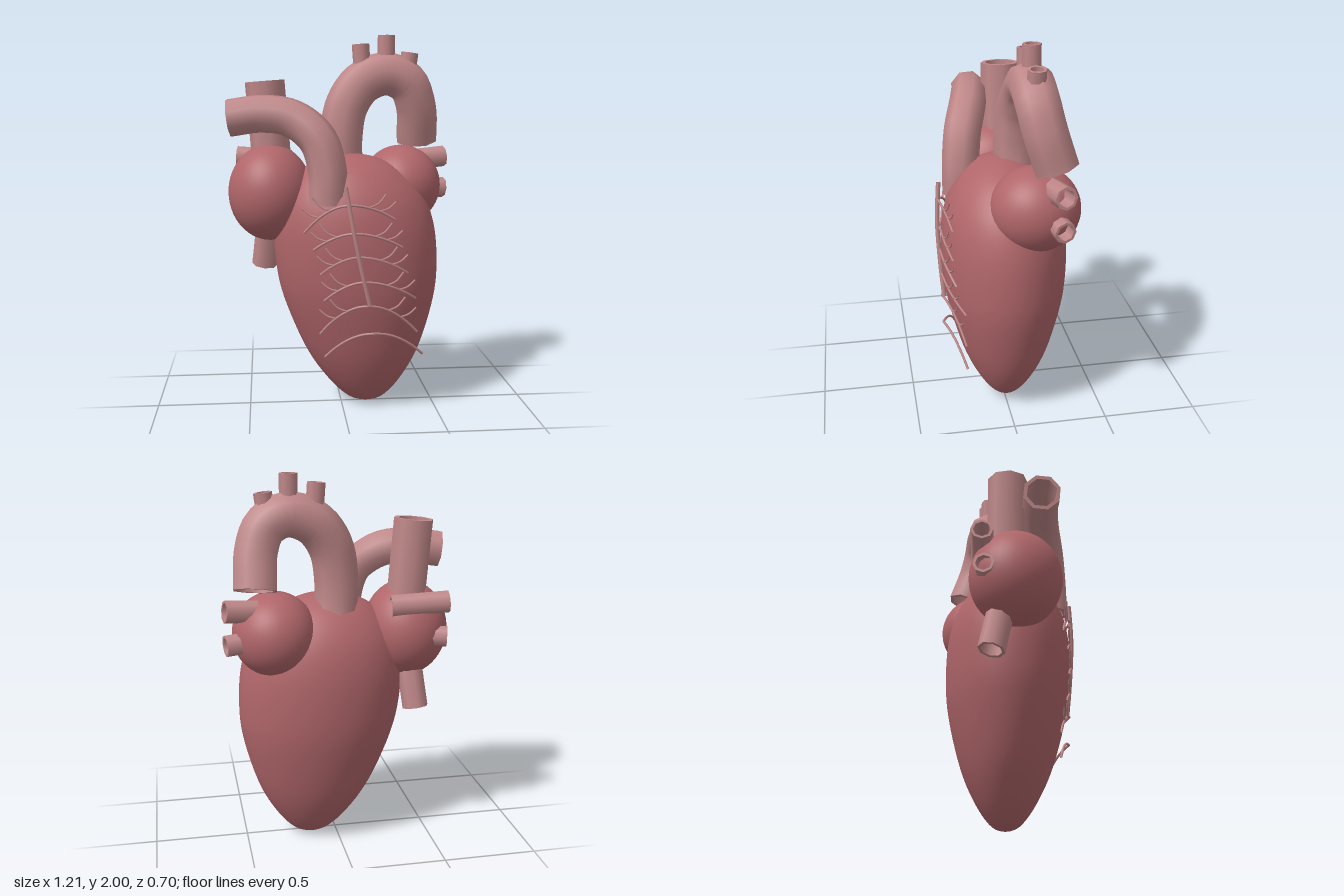
import * as THREE from 'three';
import { mergeGeometries, mergeVertices } from 'three/addons/utils/BufferGeometryUtils.js';

const V = (p) => new THREE.Vector3(...p);
const mat = (name, color, side = THREE.FrontSide) => {
  const m = new THREE.MeshStandardMaterial({ color, side });
  m.name = name;
  return m;
};

// Ventricle profile: half width against height, leaning slightly as it rises
const profile = new THREE.SplineCurve([
  [0, 0.005], [0.1, 0.035], [0.21, 0.15], [0.316, 0.33], [0.409, 0.6], [0.437, 0.8],
  [0.43, 1.0], [0.378, 1.16], [0.272, 1.285], [0.14, 1.355], [0, 1.38],
].map(([r, y]) => new THREE.Vector2(r, y))).getPoints(50);
profile[0].x = profile[50].x = 0;
const DEPTH = 0.755, MID_Z = -0.01;
const midX = (y) => 0.139 - 0.067 * y;

// Front surface of the ventricles at (x, y)
function surfaceZ(x, y) {
  const i = Math.min(49, Math.max(1, profile.findIndex((p) => p.y > y)));
  const a = profile[i - 1], b = profile[i];
  const r = a.x + (b.x - a.x) * (y - a.y) / (b.y - a.y);
  const d = x - midX(y);
  return MID_Z + DEPTH * Math.sqrt(Math.max(0, r * r - d * d));
}

function ventricleGeometry() {
  let g = new THREE.LatheGeometry(profile, 56);
  const p = g.attributes.position;
  for (let i = 0; i < p.count; i++) {
    p.setX(i, p.getX(i) + midX(p.getY(i)));
    p.setZ(i, p.getZ(i) * DEPTH + MID_Z);
  }
  g.deleteAttribute('uv');
  g.deleteAttribute('normal');
  g = mergeVertices(g, 1e-5);
  g.computeVertexNormals();
  return g;
}

// Thick-walled eight-sided vessel, open at both ends
function hollowTube(points, radius, wall, segments) {
  const curve = new THREE.CatmullRomCurve3(points.map(V));
  const frames = curve.computeFrenetFrames(segments, false);
  const parts = [radius, radius - wall].map((r) => new THREE.TubeGeometry(curve, segments, r, 8));
  // inner wall faces the bore
  const inner = parts[1];
  const idx = inner.index.array;
  for (let i = 0; i < idx.length; i += 3) [idx[i], idx[i + 1]] = [idx[i + 1], idx[i]];
  const n = inner.attributes.normal.array;
  for (let i = 0; i < n.length; i++) n[i] = -n[i];
  // rims
  for (const k of [0, segments]) {
    const rim = new THREE.RingGeometry(radius - wall, radius, 8);
    const basis = new THREE.Matrix4().makeBasis(frames.normals[k], frames.binormals[k], frames.tangents[k]);
    basis.setPosition(curve.getPointAt(k / segments));
    parts.push(rim.applyMatrix4(basis));
  }
  return mergeGeometries(parts);
}

export function createModel() {
  const muscle = mat('heart muscle', 0xb0666a);
  const vessel = mat('vessel wall', 0xc08889, THREE.DoubleSide);
  const model = new THREE.Group();
  model.name = 'heart';
  const add = (name, geometry, material, parent = model) => {
    const m = new THREE.Mesh(geometry, material);
    m.name = name;
    parent.add(m);
    return m;
  };

  // Chambers
  add('ventricles', ventricleGeometry(), muscle);
  const atrium = (name, pos, size) => {
    const m = add(name, new THREE.SphereGeometry(1, 40, 28), muscle);
    m.position.set(...pos);
    m.scale.set(...size);
  };
  atrium('rightAtrium', [-0.377, 1.17, -0.03], [0.223, 0.257, 0.24]);
  atrium('leftAtrium', [0.34, 1.193, -0.125], [0.217, 0.219, 0.23]);

  // Great vessels: name, path, radius, wall, segments
  const vessels = [
    ['aorta', [[0.03, 1.17, -0.11], [0.012, 1.3, -0.09], [0.008, 1.46, -0.085], [0.04, 1.63, -0.095],
      [0.13, 1.752, -0.11], [0.26, 1.796, -0.115], [0.372, 1.745, -0.12], [0.424, 1.625, -0.145],
      [0.44, 1.437, -0.205]], 0.116, 0.02, 36],
    ['pulmonaryArtery', [[-0.088, 1.13, 0.19], [-0.085, 1.29, 0.19], [-0.135, 1.46, 0.17],
      [-0.26, 1.565, 0.125], [-0.41, 1.59, 0.095], [-0.587, 1.568, 0.075]], 0.1, 0.02, 28],
    ['superiorVenaCava', [[-0.365, 1.3, -0.075], [-0.38, 1.5, -0.075], [-0.4, 1.757, -0.075]], 0.105, 0.025, 6],
    ['inferiorVenaCava', [[-0.38, 1.05, -0.09], [-0.395, 0.9, -0.125], [-0.412, 0.755, -0.155]], 0.07, 0.016, 6],
    ['archBranchInner', [[0.128, 1.77, -0.115], [0.115, 1.953, -0.115]], 0.047, 0.014, 2],
    ['archBranchMiddle', [[0.255, 1.8, -0.115], [0.255, 2, -0.115]], 0.047, 0.014, 2],
    ['archBranchOuter', [[0.362, 1.75, -0.115], [0.383, 1.908, -0.115]], 0.047, 0.014, 2],
    ['rightUpperVein', [[-0.26, 1.325, -0.19], [-0.555, 1.345, -0.225]], 0.058, 0.014, 2],
    ['rightLowerVein', [[-0.32, 1.16, -0.15], [-0.555, 1.155, -0.215]], 0.055, 0.014, 2],
    ['leftUpperVein', [[0.35, 1.32, -0.17], [0.597, 1.342, -0.22]], 0.058, 0.014, 2],
    ['leftLowerVein', [[0.35, 1.18, -0.17], [0.597, 1.165, -0.22]], 0.056, 0.014, 2],
  ];
  for (const [name, path, radius, wall, segments] of vessels) {
    add(name, hollowTube(path, radius, wall, segments), vessel);
  }

  // Coronary artery on the front wall
  const coronary = new THREE.Group();
  coronary.name = 'coronaryArteries';
  model.add(coronary);
  const strand = (name, pts, r, seg) =>
    add(name, new THREE.TubeGeometry(new THREE.CatmullRomCurve3(pts), seg, r, 6), vessel, coronary);
  strand('coronaryTrunk', [[-0.005, 1.23, 0.32], [0.03, 1.03, 0.335], [0.075, 0.81, 0.33], [0.12, 0.62, 0.318]].map(V), 0.012, 16);

  // Side branches: start x, y; left end x, y; right end x, y
  const levels = [
    [0.015, 1.14, -0.21, 0.99, 0.25, 1.06],
    [0.04, 0.995, -0.165, 0.905, 0.29, 0.915],
    [0.065, 0.875, -0.13, 0.78, 0.32, 0.78],
    [0.09, 0.745, -0.11, 0.64, 0.37, 0.635],
    [0.105, 0.62, -0.13, 0.455, 0.38, 0.455],
    [0.14, 0.475, -0.105, 0.33, 0.41, 0.335],
  ];
  levels.forEach(([sx, sy, lx, ly, rx, ry], level) => {
    for (const [side, ex, ey] of [[-1, lx, ly], [1, rx, ry]]) {
      const endZ = Math.max(surfaceZ(ex, ey) + 0.008, 0.235);
      const at = (t) => {
        const x = sx + (ex - sx) * t;
        const y = sy + (ey - sy) * (0.12 * t + 0.88 * t * t);
        return new THREE.Vector3(x, y, Math.max(surfaceZ(x, y) + 0.006, 0.328 + (endZ - 0.328) * t));
      };
      strand('coronaryBranch', [0, 0.2, 0.4, 0.6, 0.8, 1].map(at), 0.0065, 12);
      if (level === 5) continue;
      // Twigs curling up off each branch
      for (const [t, dx, dy] of [[0.42, 0.09, 0.065], [0.66, 0.085, 0.045]]) {
        const a = at(t);
        const rise = (k, h) => {
          const x = a.x + side * dx * k, y = a.y + dy * h;
          return new THREE.Vector3(x, y, Math.max(surfaceZ(x, y) + 0.006, a.z - 0.02 * k));
        };
        strand('coronaryTwig', [a, rise(0.55, 0.3), rise(1, 1)], 0.005, 6);
      }
    }
  });
  return model;
}
